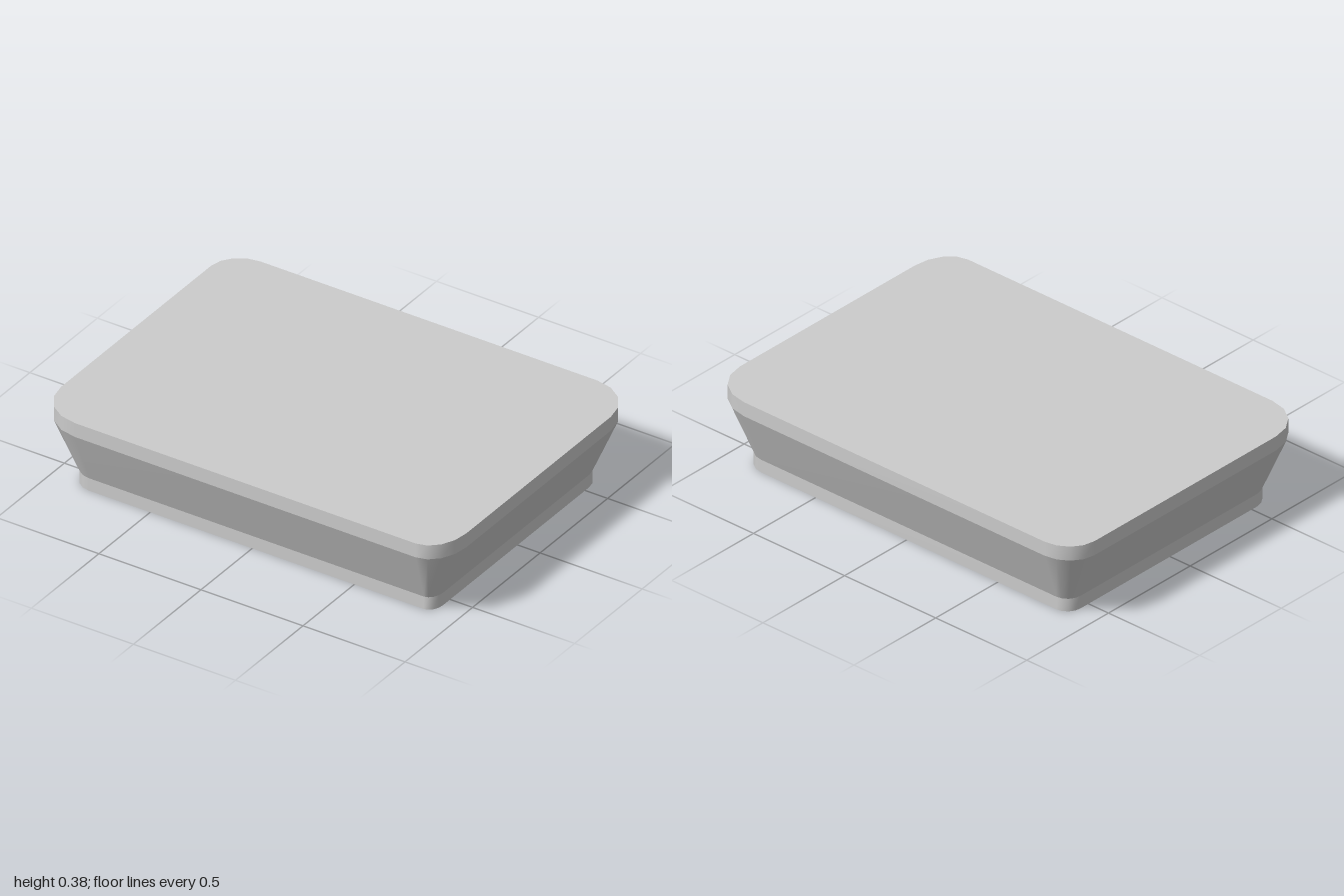
import * as THREE from 'three';

const STEPS = 4; // segments per rounded corner

// Corners in order (+x+z), (-x+z), (-x-z), (+x-z): radii along x and z
const TOP_RADII = [[0.13, 0.18], [0.2, 0.2], [0.15, 0.14], [0.2, 0.2]];
const BASE_RADII = [[0.05, 0.07], [0.09, 0.09], [0.07, 0.07], [0.09, 0.09]];

// Rounded rectangle outline at height y
function ring(halfX, halfZ, radii, y) {
  const points = [];
  radii.forEach(([rx, rz], corner) => {
    const sx = corner === 0 || corner === 3 ? 1 : -1;
    const sz = corner < 2 ? 1 : -1;
    for (let i = 0; i <= STEPS; i++) {
      const a = (corner + i / STEPS) * Math.PI / 2;
      points.push(new THREE.Vector3(
        sx * (halfX - rx) + rx * Math.cos(a), y,
        sz * (halfZ - rz) + rz * Math.sin(a)));
    }
  });
  return points;
}

function makeGeometry(points, index) {
  const geometry = new THREE.BufferGeometry().setFromPoints(points);
  geometry.setIndex(index);
  geometry.computeVertexNormals();
  return geometry;
}

// Wall between two outlines, smooth around the corners
function band(lower, upper) {
  const n = lower.length, index = [];
  for (let i = 0; i < n; i++) {
    const j = (i + 1) % n;
    index.push(i, n + i, j, j, n + i, n + j);
  }
  return makeGeometry([...lower, ...upper], index);
}

// Flat lid over one outline
function cap(outline, facesUp) {
  const n = outline.length, index = [];
  for (let i = 0; i < n; i++) {
    const j = (i + 1) % n;
    index.push(n, facesUp ? j : i, facesUp ? i : j);
  }
  return makeGeometry([...outline, new THREE.Vector3(0, outline[0].y, 0)], index);
}

export function createModel() {
  const group = new THREE.Group();
  group.name = 'taperedTray';
  const material = new THREE.MeshStandardMaterial({ color: 0xcccccc });
  const add = (name, geometry) => {
    const mesh = new THREE.Mesh(geometry, material);
    mesh.name = name;
    group.add(mesh);
  };

  const foot = ring(0.89, 0.62, BASE_RADII, 0);
  const footTop = ring(0.89, 0.62, BASE_RADII, 0.06);
  const rimBottom = ring(1, 0.725, TOP_RADII, 0.315);
  const rim = ring(1, 0.725, TOP_RADII, 0.382);

  add('underside', cap(foot, false));
  add('footBand', band(foot, footTop));
  add('slopedWall', band(footTop, rimBottom));
  add('rimBand', band(rimBottom, rim));
  add('topPanel', cap(rim, true));
  return group;
}
